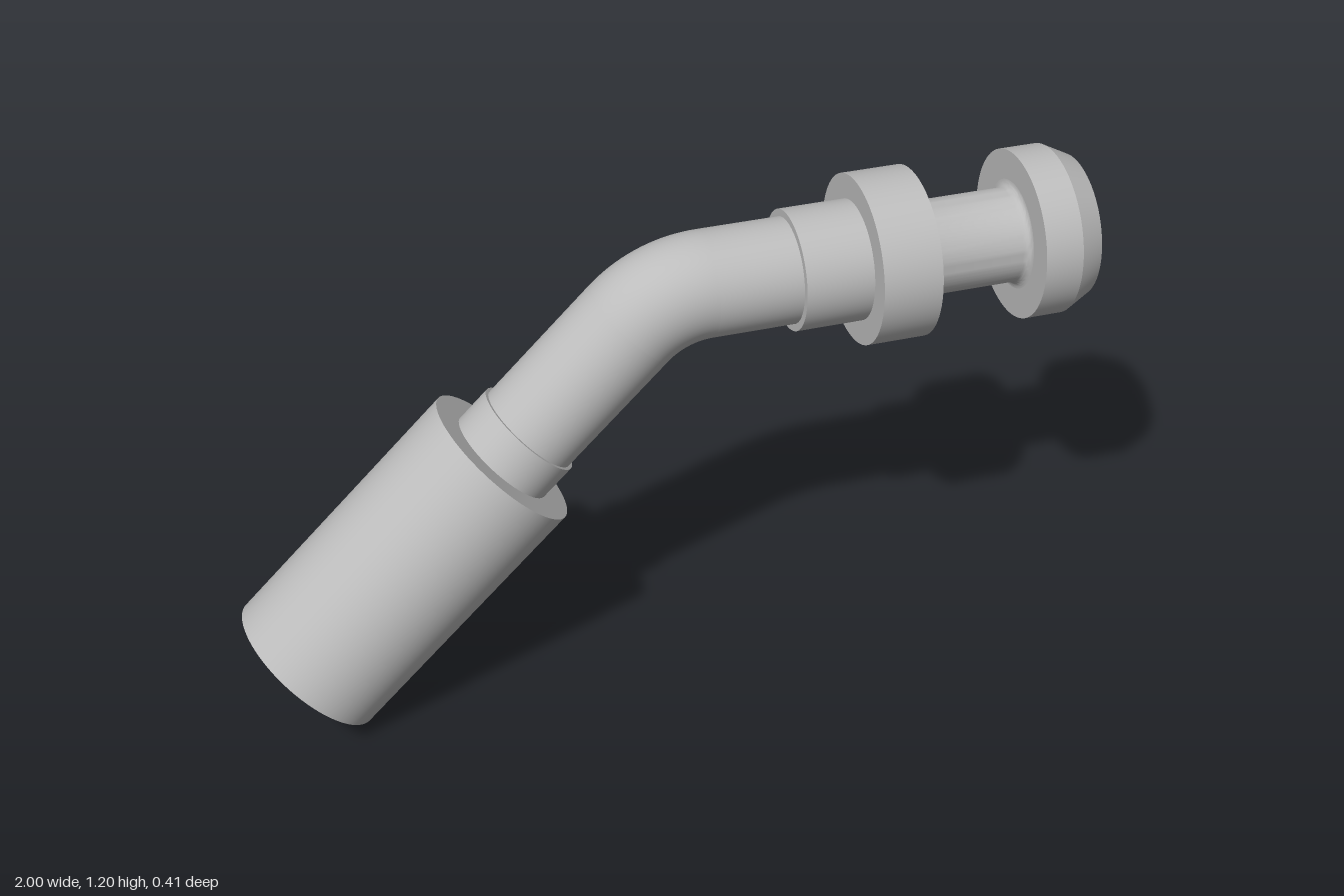
import * as THREE from 'three';
import { toCreasedNormals } from 'three/addons/utils/BufferGeometryUtils.js';

const PIPE = 0.123, BORE = 0.06, BEND = 0.25;
const TANGENT = BEND * Math.tan(Math.PI / 8);

// Quarter-round points about (cr, cy), from angle a to b
function arc(cr, cy, rad, a, b, n = 6) {
  return Array.from({ length: n + 1 }, (_, i) => {
    const t = a + (b - a) * i / n;
    return [cr + rad * Math.cos(t), cy + rad * Math.sin(t)];
  });
}

export function createModel() {
  const model = new THREE.Group();
  model.name = 'bentHoseFitting';
  const steel = new THREE.MeshStandardMaterial({ color: 0xbcbcbc, side: THREE.DoubleSide });
  steel.name = 'steelGrey';

  // Turned part: [radius, distance along the arm] pairs
  const turned = (parent, name, profile) => {
    const geo = new THREE.LatheGeometry(profile.map(p => new THREE.Vector2(...p)), 72);
    const mesh = new THREE.Mesh(toCreasedNormals(geo, 0.4), steel);
    mesh.name = name;
    parent.add(mesh);
  };
  const arm = (name, angle) => {
    const g = new THREE.Group();
    g.name = name;
    g.rotation.z = angle;
    model.add(g);
    return g;
  };
  const H = Math.PI / 2;

  // Horizontal arm with the coupling end
  const tip = arm('couplingArm', -H);
  turned(tip, 'upperPipe', [[PIPE, TANGENT], [PIPE, 0.31]]);
  turned(tip, 'upperSleeve', [[PIPE - 0.01, 0.3], [0.14, 0.3], [0.14, 0.46]]);
  turned(tip, 'collar', [[0.11, 0.46], [0.198, 0.46], [0.198, 0.6], [0.11, 0.6]]);
  const f = 0.018;
  turned(tip, 'neck', [
    ...arc(0.11 + f, 0.6 + f, f, -H, -2 * H),
    ...arc(0.11 + f, 0.85 - f, f, 2 * H, H),
  ]);
  turned(tip, 'head', [
    [0.11, 0.85], [0.198, 0.85], [0.198, 0.94], [0.167, 1],
    ...arc(BORE + 0.01, 0.99, 0.01, H, 2 * H),
    [BORE, TANGENT],
  ]);

  // Curved elbow and its bore
  for (const [name, r] of [['elbow', PIPE], ['elbowBore', BORE]]) {
    const mesh = new THREE.Mesh(new THREE.TorusGeometry(BEND, r, 72, 24, Math.PI / 4), steel);
    mesh.name = name;
    mesh.rotation.z = H;
    mesh.position.set(TANGENT, -BEND, 0);
    model.add(mesh);
  }

  // Slanted arm with the hollow hose socket
  const hose = arm('hoseArm', Math.PI * 0.75);
  turned(hose, 'lowerPipe', [[PIPE, TANGENT], [PIPE, 0.45]]);
  turned(hose, 'lowerSleeve', [[PIPE - 0.01, 0.438], [0.131, 0.438], [0.131, 0.54]]);
  turned(hose, 'socket', [
    [0.1, 0.53], [0.198, 0.53], [0.198, 1.216], [0.145, 1.216], [0.145, 0.6], [0.08, 0.6],
  ]);
  turned(hose, 'innerStem', [[0.085, 0.58], [0.085, 1.2], [BORE, 1.2], [BORE, TANGENT]]);

  model.position.y = 1.005;
  model.rotation.y = -0.009;
  const root = new THREE.Group();
  root.name = 'fitting';
  root.add(model);
  return root;
}
